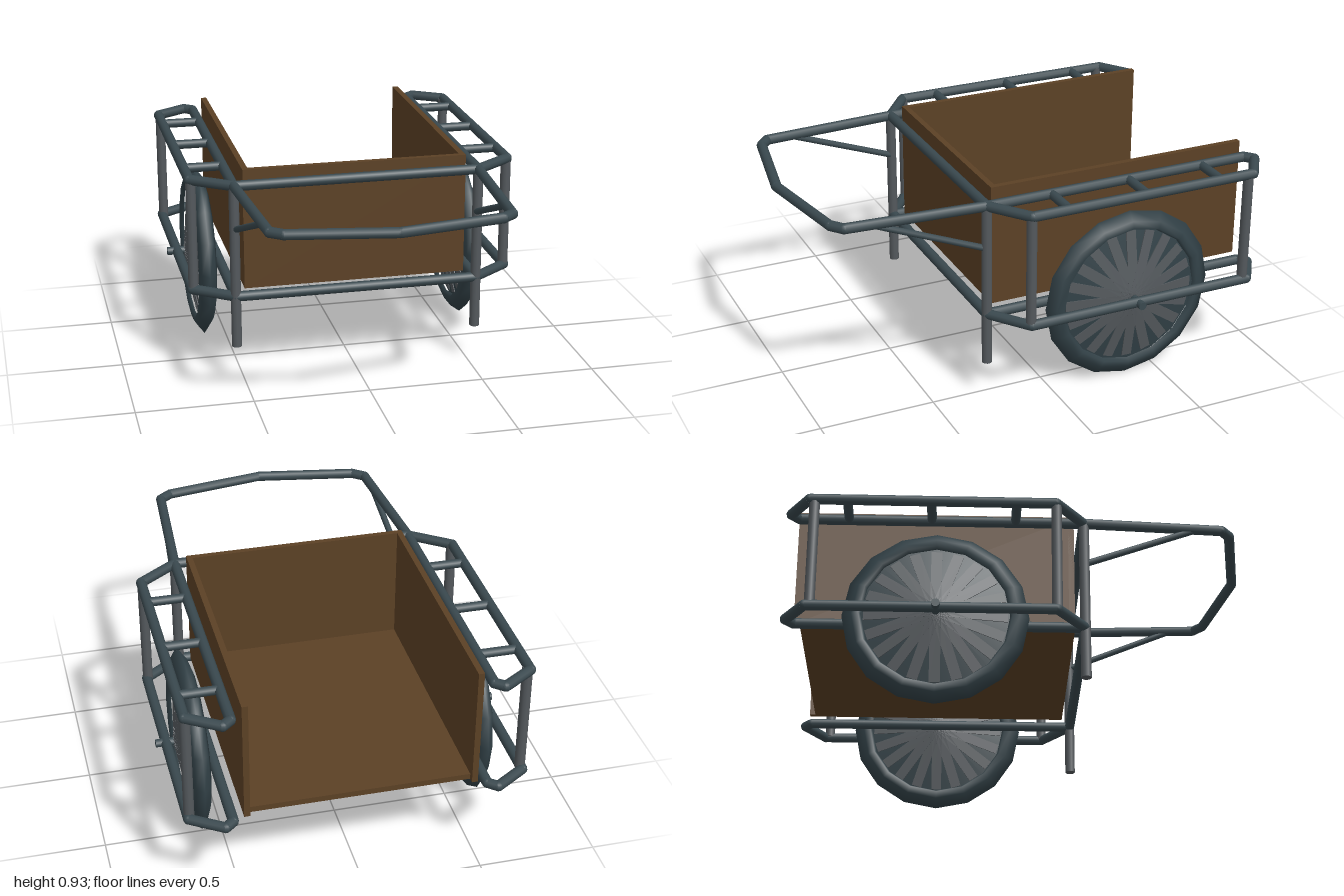
import * as THREE from 'three';

const mat = (name, color) => {
  const m = new THREE.MeshStandardMaterial({ color });
  m.name = name;
  return m;
};

export function createModel() {
  const root = new THREE.Group();
  root.name = 'handCart';
  const frame = mat('slate frame', 0x3a494f);
  const steel = mat('grey steel', 0x54595d);
  const rubber = mat('dark tyre', 0x324147);
  const wood = mat('brown wood', 0x5c4125);

  const add = (parent, name, geo, material, x = 0, y = 0, z = 0) => {
    const m = new THREE.Mesh(geo, material);
    m.name = name;
    m.position.set(x, y, z);
    parent.add(m);
    return m;
  };

  // Straight pipes between points, with ball joints at the bends
  const pipe = (name, points, r, material, closed = false) => {
    const g = new THREE.Group();
    g.name = name;
    const p = points.map(a => new THREE.Vector3(...a));
    const up = new THREE.Vector3(0, 1, 0);
    const n = p.length;
    for (let i = 0; i < (closed ? n : n - 1); i++) {
      const a = p[i], b = p[(i + 1) % n];
      const d = b.clone().sub(a);
      const m = add(g, name + 'Pipe', new THREE.CylinderGeometry(r, r, d.length(), 10), material);
      m.position.copy(a).add(b).multiplyScalar(0.5);
      m.quaternion.setFromUnitVectors(up, d.normalize());
    }
    p.forEach((v, i) => {
      if (closed || (i > 0 && i < n - 1))
        add(g, name + 'Joint', new THREE.SphereGeometry(r, 10, 8), material, v.x, v.y, v.z);
    });
    root.add(g);
  };

  const R = 0.022, TOP = 0.88, LOW = 0.387;

  // Open-backed wooden box
  add(root, 'floor', new THREE.BoxGeometry(0.96, 0.025, 1.14), wood, 0, 0.417, -0.35);
  add(root, 'frontPanel', new THREE.BoxGeometry(0.97, 0.53, 0.025), wood, 0, 0.67, 0.213);
  for (const s of [-1, 1])
    add(root, 'sidePanel', new THREE.BoxGeometry(0.025, 0.53, 1.17), wood, s * 0.4725, 0.67, -0.36);

  // Front cross bars and push handle
  for (const y of [TOP, LOW]) pipe('frontBar', [[-0.53, y, 0.265], [0.53, y, 0.265]], R, frame);
  pipe('handle', [
    [-0.53, TOP, 0.265], [-0.49, TOP, 0.86], [-0.44, TOP, 0.9], [0, TOP, 0.976],
    [0.44, TOP, 0.9], [0.49, TOP, 0.86], [0.53, TOP, 0.265],
  ], R, frame);

  for (const s of [-1, 1]) {
    // Side rail loops, upper and lower
    for (const y of [TOP, LOW])
      pipe('sideRail', [
        [s * 0.53, y, 0.265], [s * 0.698, y, 0.14], [s * 0.698, y, -0.885],
        [s * 0.565, y, -0.972], [s * 0.528, y, -0.94],
      ], R, frame, true);
    // Short ties over the wheel
    for (const z of [-0.73, -0.38, -0.025])
      pipe('railTie', [[s * 0.53, TOP, z], [s * 0.698, TOP, z]], 0.02, frame);
    // Posts, standing leg and handle brace
    for (const z of [0.14, -0.865])
      pipe('post', [[s * 0.693, LOW, z], [s * 0.693, TOP, z]], R, steel);
    pipe('leg', [[s * 0.53, 0.16, 0.265], [s * 0.53, TOP, 0.265]], R, steel);
    pipe('handleBrace', [[s * 0.525, 0.69, 0.27], [s * 0.498, 0.87, 0.73]], 0.014, frame);
    pipe('axle', [[s * 0.52, LOW, -0.355], [s * 0.742, LOW, -0.355]], 0.018, frame);
    root.add(wheel(s));
  }

  function wheel(s) {
    const g = new THREE.Group();
    g.name = 'wheel';
    const lathe = pts => new THREE.LatheGeometry(pts.map(p => new THREE.Vector2(...p)), 16);
    // Tyre with a pointed tread
    add(g, 'tyre', lathe([
      [0.305, -0.02], [0.315, -0.04], [0.345, -0.03], [0.385, 0],
      [0.345, 0.03], [0.315, 0.04], [0.305, 0.02],
    ]), rubber);
    // Bulging disc, flat from rim to hub on both faces
    add(g, 'wheelDisc', lathe([[0, -0.06], [0.315, -0.007], [0.315, 0.007], [0, 0.06]]), rubber);
    // Thin spoke plates lying on both disc faces
    for (const face of [0, Math.PI])
      for (let i = 0; i < 20; i++) {
        const geo = new THREE.BoxGeometry(0.045, 0.005, 0.3);
        geo.translate(0, 0, 0.15);
        geo.rotateX(Math.atan(0.168));
        geo.translate(0, 0.061, 0);
        geo.rotateY((i / 20) * Math.PI * 2);
        geo.rotateZ(face);
        add(g, 'spoke', geo, steel);
      }
    g.rotation.z = -Math.PI / 2;
    g.position.set(s * 0.603, 0.387, -0.355);
    return g;
  }

  return root;
}
